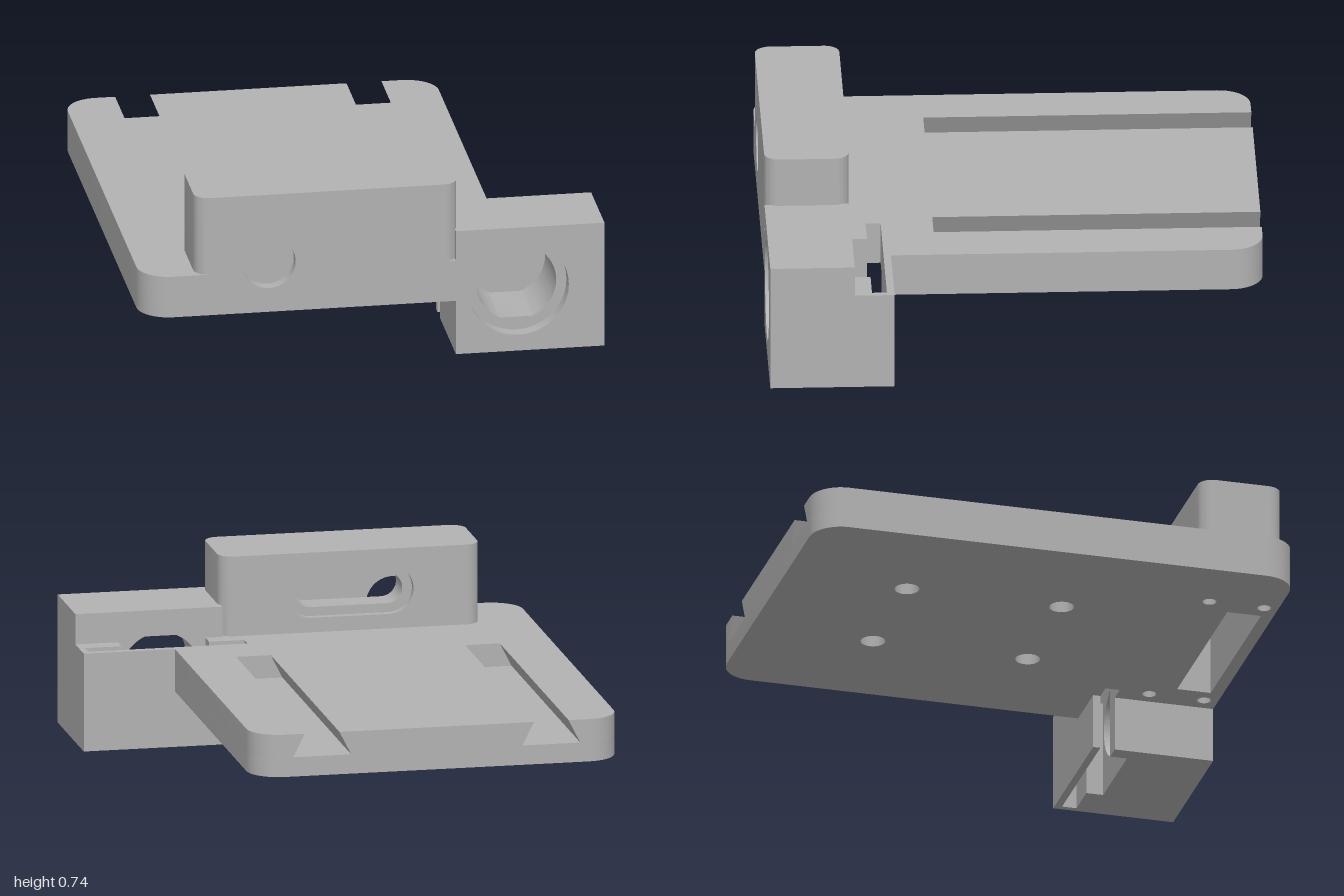
import * as THREE from 'three';
import { toCreasedNormals } from 'three/addons/utils/BufferGeometryUtils.js';

const grey = new THREE.MeshStandardMaterial({ color: 0xb2b2b2 });
grey.name = 'grey plastic';

// Closed outline from [a, b, radius?]; a radius rounds a right-angled corner.
function outline(points) {
  const out = [];
  points.forEach(([a, b, r], i) => {
    const p = new THREE.Vector2(a, b);
    if (!r) return out.push(p);
    const n = points.length;
    const u = new THREE.Vector2(...points[(i + n - 1) % n].slice(0, 2)).sub(p).normalize();
    const v = new THREE.Vector2(...points[(i + 1) % n].slice(0, 2)).sub(p).normalize();
    for (let k = 0; k <= 10; k++) {
      const t = (k / 10) * Math.PI / 2;
      out.push(new THREE.Vector2(
        a + r * (u.x + v.x - Math.cos(t) * v.x - Math.sin(t) * u.x),
        b + r * (u.y + v.y - Math.cos(t) * v.y - Math.sin(t) * u.y)));
    }
  });
  return new THREE.Shape(out);
}

const rect = (a0, b0, a1, b1) => outline([[a0, b0], [a1, b0], [a1, b1], [a0, b1]]);

function circle(a, b, r) {
  return new THREE.Path().absarc(a, b, r, 0, Math.PI * 2, false);
}

// Horizontal slot with round ends
function stadium(a, b, half, r) {
  const p = new THREE.Path();
  p.absarc(a + half - r, b, r, -Math.PI / 2, Math.PI / 2, false);
  p.absarc(a - half + r, b, r, Math.PI / 2, Math.PI * 1.5, false);
  p.closePath();
  return p;
}

// Round bore with flats at top and bottom
function flattedBore(a, b, r, flat) {
  const t = Math.asin(flat / r);
  const p = new THREE.Path();
  p.absarc(a, b, r, -t, t, false);
  p.absarc(a, b, r, Math.PI - t, Math.PI + t, false);
  p.closePath();
  return p;
}

export function createModel() {
  const model = new THREE.Group();
  model.name = 'mountingBracket';

  function extrude(name, shape, depth, holes) {
    shape.holes.push(...holes);
    const g = new THREE.ExtrudeGeometry(shape, { depth, bevelEnabled: false, curveSegments: 20 });
    const mesh = new THREE.Mesh(g, grey);
    mesh.name = name;
    model.add(mesh);
    return mesh;
  }
  // Plan outline (x, z) raised from y0 to y1
  function raise(name, shape, y0, y1, holes = []) {
    const m = extrude(name, shape, y1 - y0, holes);
    m.geometry = toCreasedNormals(m.geometry.rotateX(Math.PI / 2).translate(0, y1, 0), 0.5);
  }
  // Front outline (x, y) drawn from z0 to z1
  function push(name, shape, z0, z1, holes = []) {
    const m = extrude(name, shape, z1 - z0, holes);
    m.geometry = toCreasedNormals(m.geometry.translate(0, 0, z0), 0.5);
  }

  const L = -0.945, R = 0.565, C = -0.19;      // plate sides and its centre line
  const bottom = 0.23, floor = 0.31, top = 0.405, high = 0.735;
  const boxL = 0.335, boxR = 0.94, step = 0.66;

  // Plate, lower layer, with four blind screw holes
  const slotEdge = [[R, 0.5], [boxL, 0.5], [boxL, 0.53], [0.26, 0.53], [0.26, 0.59],
    [boxL, 0.59], [boxL, step], [L, step]];
  const screwHoles = [];
  for (const x of [C - 0.25, C + 0.265]) for (const z of [-0.49, 0.155]) screwHoles.push(circle(x, z, 0.05));
  raise('plateBase', outline([[L, -1, 0.13], [R, -1, 0.13], ...slotEdge]), bottom, floor, screwHoles);

  // Plate, upper layer, leaving two dovetail grooves open at the back
  const grooveEnd = 0.32;
  raise('plateFrontTop', outline([[L, grooveEnd], [R, grooveEnd], ...slotEdge]), floor, top);
  const lipOut = 0.542, lipIn = 0.4, under = 0.048;
  push('plateMiddleTop', outline([[C - lipIn + under, floor], [C + lipIn - under, floor],
    [C + lipIn, top], [C - lipIn, top]]), -1, grooveEnd);
  for (const s of [-1, 1]) {
    const edge = C + s * 0.755, inner = C + s * 0.615;
    raise('railOuter', outline([[edge, -1, 0.13], [inner, -1], [inner, grooveEnd], [edge, grooveEnd]]), floor, top);
    push('railLip', outline([[inner, floor], [C + s * (lipOut + under), floor],
      [C + s * lipOut, top], [inner, top]]), -1, grooveEnd);
  }

  // Raised housing ends and the plate beneath them, with small screw holes
  const midL = -0.6, midR = 0.22;
  const smallHoles = x => [circle(x, 0.715, 0.028), circle(x, 0.943, 0.028)];
  raise('plateFrontLeftCorner', outline([[L, step], [midL, step], [midL, 1], [L, 1, 0.13]]),
    bottom, top, smallHoles(-0.645));
  raise('plateFrontRight', rect(midR, step, boxL, 1), bottom, top, smallHoles(0.265));
  for (const [x, mid] of [[-0.725, midL], [0.345, midR]]) {
    raise('housingEnd', outline([[x, step, 0.06], [mid, step], [mid, 1], [x, 1, 0.06]]), top, high);
  }

  // Housing middle: stepped rear slot, cavity open below, round front hole
  const slab = () => rect(midL, bottom, midR, high);
  push('housingRearLip', slab(), step, 0.69, [stadium(C, 0.565, 0.26, 0.1)]);
  push('housingRearWall', slab(), 0.69, 0.81, [stadium(C, 0.565, 0.22, 0.063)]);
  push('housingCavity', outline([[midL, bottom], [-0.57, bottom], [-0.57, 0.68], [0.19, 0.68],
    [0.19, bottom], [midR, bottom], [midR, high], [midL, high]]), 0.81, 0.95);
  push('housingFrontWall', slab(), 0.95, 1, [circle(-0.425, 0.44, 0.108)]);

  // Side box: flatted bore with a counterbore on the front
  const box = () => rect(boxL, 0, boxR, 0.53);
  push('boxBody', box(), step, 0.94, [flattedBore(0.59, 0.273, 0.163, 0.15)]);
  push('boxFrontRim', box(), 0.94, 1, [circle(0.59, 0.273, 0.205)]);

  // Side box rear: T-shaped slot running straight through from top to bottom
  raise('boxRearWall', outline([[boxL, 0.5], [boxR, 0.5], [boxR, step], [0.765, step],
    [0.765, 0.59], [0.915, 0.59], [0.915, 0.53], [boxL, 0.53]]), 0, top);
  raise('boxRearPost', rect(boxL, 0.59, 0.405, step), 0, top);

  return model;
}
